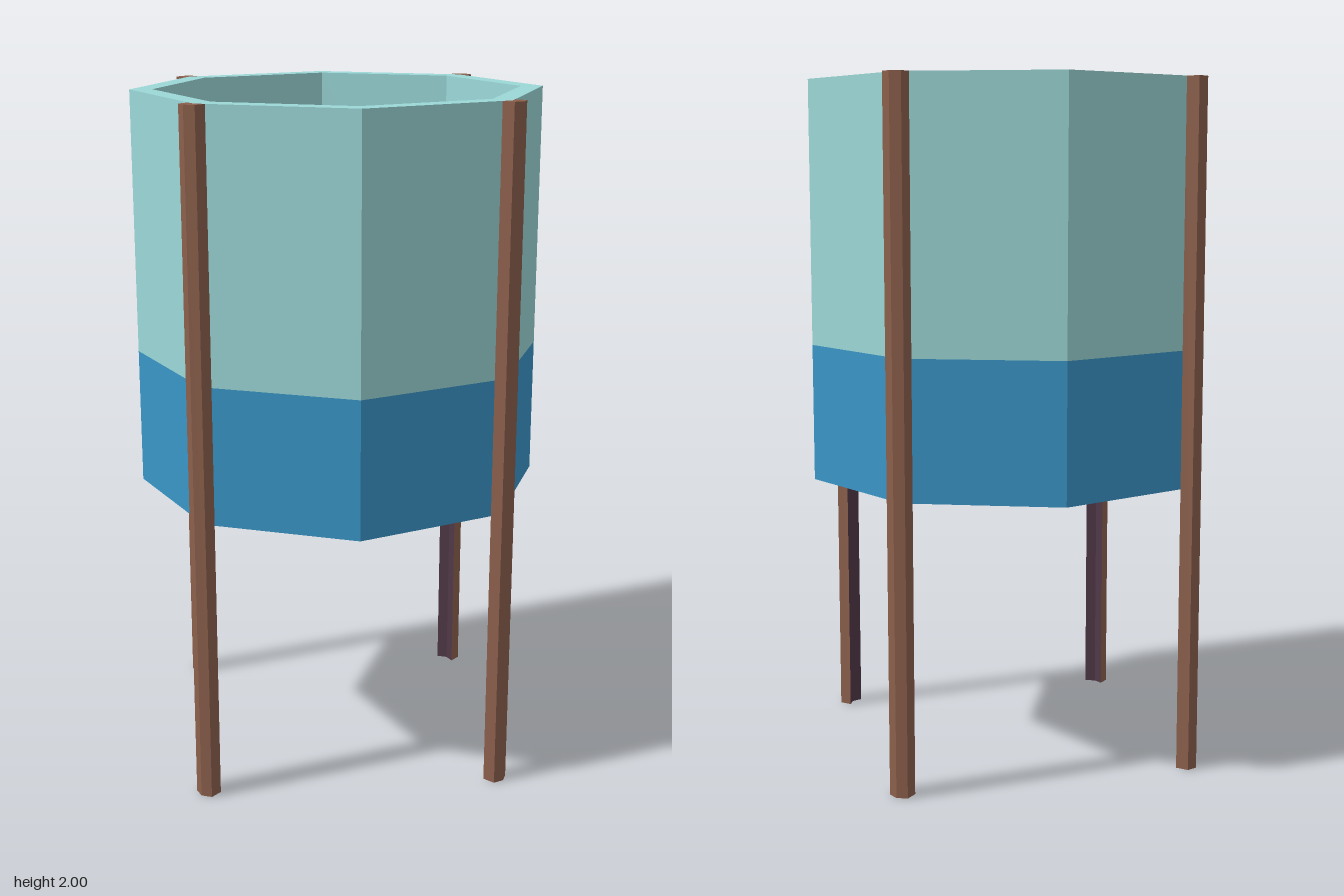
import * as THREE from 'three';

const SIDES = 8;
const OUTER = 0.597, INNER = 0.532; // corner radii of the octagon
const BASE_Y = 0.835, BAND_Y = 1.235, SOIL_Y = 1.76, TOP_Y = 2;

function material(name, color) {
  const m = new THREE.MeshStandardMaterial({ color, flatShading: true });
  m.name = name;
  return m;
}

// Octagon with flat sides facing the axes
function octagon(radius) {
  return Array.from({ length: SIDES }, (_, i) => {
    const a = ((i + 0.5) / SIDES) * Math.PI * 2;
    return new THREE.Vector2(Math.cos(a) * radius, Math.sin(a) * radius);
  });
}

// Extrude a plan shape upwards between two heights
function upright(shape, y0, y1) {
  const g = new THREE.ExtrudeGeometry(shape, { depth: y1 - y0, bevelEnabled: false });
  return g.rotateX(-Math.PI / 2).translate(0, y0, 0);
}

// Leg that wraps a corner: chevron section, inward faces use material 1
function legGeometry() {
  const half = 0.03, slope = half * Math.tan(Math.PI / 8), outer = 0.635;
  const shape = new THREE.Shape([
    [0, OUTER], [half, OUTER - slope], [half, outer - slope],
    [0, outer], [-half, outer - slope], [-half, OUTER - slope],
  ].map(([x, y]) => new THREE.Vector2(x, y)));
  const g = upright(shape, 0, TOP_Y);
  const normal = g.attributes.normal;
  g.clearGroups();
  for (let i = 0; i < normal.count; i += 3) {
    g.addGroup(i, 3, normal.getZ(i) > 0.5 ? 1 : 0);
  }
  return g;
}

export function createModel() {
  const model = new THREE.Group();
  model.name = 'planter';
  const teal = material('pale teal', 0x9cd8d8);
  const blue = material('blue', 0x3a96c8);
  const soilBrown = material('soil brown', 0x572e23);
  const wood = material('wood brown', 0x8c604c);
  const innerWood = material('dark plum', 0x503847);

  const add = (name, geometry, mat) => {
    const mesh = new THREE.Mesh(geometry, mat);
    mesh.name = name;
    model.add(mesh);
    return mesh;
  };

  // Pot: solid lower band and hollow upper wall
  add('lowerBand', upright(new THREE.Shape(octagon(OUTER)), BASE_Y, BAND_Y), blue);
  const ring = new THREE.Shape(octagon(OUTER));
  ring.holes.push(new THREE.Path(octagon(INNER)));
  add('upperWall', upright(ring, BAND_Y, TOP_Y), teal);

  // Soil surface
  const soil = new THREE.ShapeGeometry(new THREE.Shape(octagon(INNER)));
  add('soil', soil.rotateX(-Math.PI / 2).translate(0, SOIL_Y, 0), soilBrown);

  // Four legs on alternate corners
  const leg = legGeometry();
  for (let i = 0; i < 4; i++) {
    add(`leg${i + 1}`, leg, [wood, innerWood]).rotation.y = Math.PI / 8 + (i * Math.PI) / 2;
  }
  return model;
}
